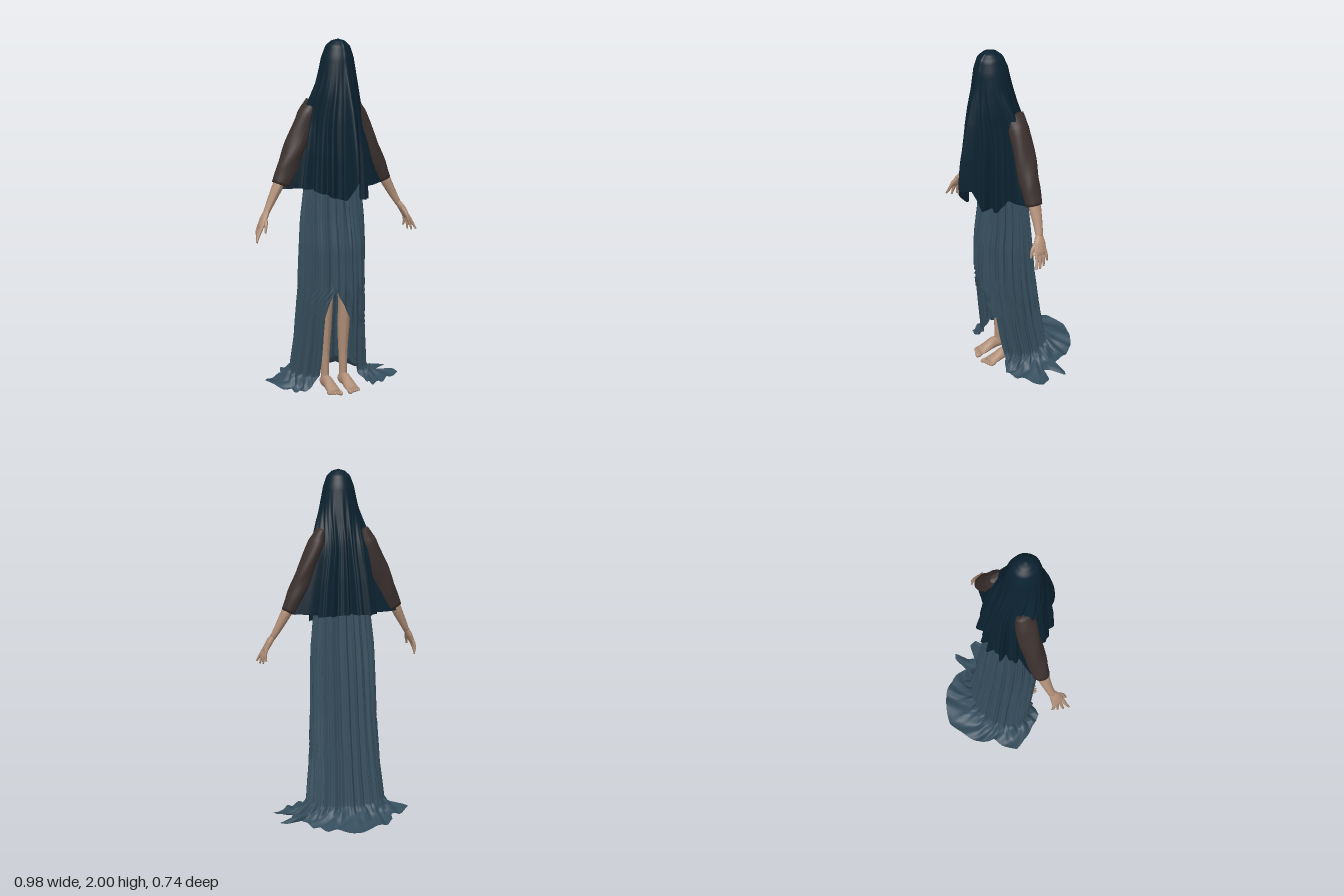
import * as THREE from 'three';

const mat = (name, color, side = THREE.FrontSide) => {
  const m = new THREE.MeshStandardMaterial({ color, side });
  m.name = name;
  return m;
};

const { lerp, clamp, smoothstep, radToDeg } = THREE.MathUtils;

// Piecewise-linear lookup in rows [key, a, b, ...] sorted by rising key
function look(rows, k, col = 1) {
  if (k <= rows[0][0]) return rows[0][col];
  for (let i = 1; i < rows.length; i++) {
    const a = rows[i - 1], b = rows[i];
    if (k <= b[0]) return lerp(a[col], b[col], (k - a[0]) / (b[0] - a[0]));
  }
  return rows[rows.length - 1][col];
}

// Grid surface from fn(u, v) -> [x, y, z]
function sheet(nu, nv, fn) {
  const pos = [], idx = [], row = nu + 1;
  for (let j = 0; j <= nv; j++)
    for (let i = 0; i <= nu; i++) pos.push(...fn(i / nu, j / nv));
  for (let j = 0; j < nv; j++)
    for (let i = 0; i < nu; i++) {
      const a = j * row + i;
      idx.push(a, a + row, a + 1, a + 1, a + row, a + row + 1);
    }
  const g = new THREE.BufferGeometry();
  g.setAttribute('position', new THREE.Float32BufferAttribute(pos, 3));
  g.setIndex(idx);
  g.computeVertexNormals();
  return g;
}

// Closed rounded limb through [x, y, z, radius along ref, radius across]
function limb(pts, ref, nu = 14, nv = 18, ripple = () => 0) {
  const curve = new THREE.CatmullRomCurve3(pts.map(p => new THREE.Vector3(p[0], p[1], p[2])));
  const radii = pts.map((p, i) => [i / (pts.length - 1), p[3], p[4]]);
  return sheet(nu, nv + 2, (u, w) => {
    const k = Math.round(w * (nv + 2));
    const v = clamp((k - 1) / nv, 0, 1);
    const open = k === 0 || k === nv + 2 ? 0 : 1;
    const T = curve.getTangent(v);
    const S = ref.clone().addScaledVector(T, -ref.dot(T)).normalize();
    const B = T.clone().cross(S);
    const a = u * Math.PI * 2, f = open * (1 + ripple(a, v));
    const p = curve.getPoint(v)
      .addScaledVector(S, Math.cos(a) * look(radii, v, 1) * f)
      .addScaledVector(B, -Math.sin(a) * look(radii, v, 2) * f);
    return [p.x, p.y, p.z];
  });
}

const X = new THREE.Vector3(1, 0, 0), Z = new THREE.Vector3(0, 0, 1);

// Veil profile: drop, core half width, half width over arms, back z, front z
const VEIL = [
  [0, 0, 0, 0.14, 0.14], [0.012, 0.036, 0.036, 0.1, 0.176], [0.045, 0.066, 0.066, 0.068, 0.207],
  [0.12, 0.088, 0.088, 0.042, 0.226], [0.25, 0.108, 0.11, 0.02, 0.24], [0.37, 0.127, 0.145, 0, 0.258],
  [0.5, 0.142, 0.18, -0.03, 0.272], [0.75, 0.166, 0.26, -0.07, 0.285], [1, 0.182, 0.345, -0.1, 0.29],
];
// Hem height by angle in degrees from the back, passing +x at 90 and the front at 180
const HEM = [[0, 1.2], [60, 1.18], [90, 1.2], [115, 1.17], [130, 1.12], [158, 1.13], [165, 1.24],
  [175, 1.24], [182, 1.13], [200, 1.15], [230, 1.18], [270, 1.19], [300, 1.18], [360, 1.2]];

function veilGeometry() {
  return sheet(240, 56, (u, v) => {
    const t = v < 0.25 ? v * v * 1.6 : 0.1 + (v - 0.25) * 1.2;
    const th = u * Math.PI * 2 - Math.PI, c = Math.cos(th), s = Math.sin(th);
    const zb = look(VEIL, t, 3), zf = look(VEIL, t, 4), core = look(VEIL, t), wide = look(VEIL, t, 2);
    const zc = lerp((zb + zf) / 2, 0.065, smoothstep(t, 0.2, 0.6));
    const depth = c > 0 ? zf - zc : zc - zb;
    let r = 1 / Math.hypot(s / Math.max(core, 1e-4), c / Math.max(depth, 1e-4));
    const side = Math.asin(Math.min(1, Math.abs(c)));
    const lobe = Math.exp(-((side / 0.2) ** 2));
    const amp = smoothstep(t, 0.1, 1);
    r += (1 - lobe) * amp * (0.016 * Math.sin(15 * th + 0.8) + 0.012 * Math.sin(25 * th + Math.sin(3 * th)));
    r += (wide - core) * lobe;
    r += 0.07 * amp * Math.exp(-(((th - 0.15) / 0.13) ** 2)); // deep front fold
    const hem = look(HEM, (1 - u) * 360);
    return [s * r, 2 - (2 - hem) * t, zc + c * r];
  });
}

// Skirt profile: height, half width, back z, front z
const SKIRT = [[0.1, 0.222, -0.175, 0.17], [0.3, 0.2, -0.145, 0.195], [0.6, 0.187, -0.105, 0.22],
  [0.85, 0.182, -0.08, 0.215], [1, 0.177, -0.06, 0.19], [1.2, 0.158, -0.04, 0.17], [1.55, 0.11, 0, 0.14]];
// Front slit: height, edge x on the left, edge x on the right
const SLIT = [[0, 0.13, -0.12], [0.2, 0.11, -0.105], [0.36, 0.1, -0.1], [0.45, 0.055, -0.095],
  [0.55, 0.02, -0.07], [0.63, -0.03, -0.03]];
// Train outline: degrees from the front towards +x, radius
const TRAIN = [[60, 0.25], [82, 0.35], [90, 0.43], [97, 0.42], [102, 0.33], [108, 0.36], [111, 0.455],
  [115, 0.43], [118, 0.33], [130, 0.37], [147, 0.41], [160, 0.42], [178, 0.44], [190, 0.41], [200, 0.4],
  [212, 0.38], [222, 0.33], [232, 0.36], [247, 0.39], [256, 0.34], [272, 0.28], [290, 0.25]];

function skirtPoint(th, y) {
  const w = look(SKIRT, y), zb = look(SKIRT, y, 2), zf = look(SKIRT, y, 3), zc = (zb + zf) / 2;
  const fold = 1 + 0.05 * Math.sin(23 * th + 1.5 * Math.sin(2 * th + y)) + 0.03 * Math.sin(41 * th + 2 * y);
  return [w * fold * Math.sin(th), y, zc + (zf - zb) / 2 * fold * Math.cos(th)];
}

function skirtGeometry() {
  return sheet(260, 64, (u, v) => {
    const s = clamp((v - 0.7) / 0.3, 0, 1);
    const y = s > 0 ? 0.1 : lerp(1.55, 0.1, v / 0.7);
    const w = look(SKIRT, y);
    const e0 = lerp(Math.asin(look(SLIT, y, 1) / w), 1.05, s);
    const e1 = lerp(Math.asin(look(SLIT, y, 2) / w), -1.2, s);
    const th = lerp(e0, Math.PI * 2 + e1, u);
    const p = skirtPoint(th, y);
    if (s > 0) { // cloth spreading over the floor
      const r = look(TRAIN, radToDeg(th));
      const k = s ** 1.4;
      p[0] = lerp(p[0], r * Math.sin(th), k);
      p[2] = lerp(p[2], 0.06 + r * Math.cos(th), k);
      p[1] = 0.088 * (1 - s) ** 2.2 + 0.012
        + 0.009 * Math.min(1, 4 * s) * (1 + Math.sin(17 * th + 9 * s + 2 * Math.sin(5 * th)));
    }
    return p;
  });
}

// Loose panel over the front: height, left edge, right edge
const DRAPE = [[0.36, 0.088, 0.105], [0.5, 0.02, 0.11], [0.62, -0.045, 0.1], [0.85, -0.03, 0.08], [1.15, -0.01, 0.04]];

function drapeGeometry() {
  return sheet(16, 30, (u, v) => {
    const y = lerp(1.15, 0.36, v);
    const x = lerp(look(DRAPE, y, 1), look(DRAPE, y, 2), u);
    const p = skirtPoint(Math.asin(x / look(SKIRT, y)), y);
    return [x, y, p[2] + 0.005 + 0.015 * Math.sin(Math.PI * u) * (1 + Math.sin(9 * u + 4 * y)) / 2];
  });
}

export function createModel() {
  const root = new THREE.Group();
  const veilMat = mat('veil dark blue', 0x0b2230, THREE.DoubleSide);
  const skirtMat = mat('skirt slate blue', 0x364e5d, THREE.DoubleSide);
  const sleeveMat = mat('sleeve brown', 0x3b312f);
  const skin = mat('skin', 0xb08f78);

  const add = (name, geo, m, parent = root) => {
    const mesh = new THREE.Mesh(geo, m);
    mesh.name = name;
    parent.add(mesh);
    return mesh;
  };

  add('veil', veilGeometry(), veilMat);
  add('skirt', skirtGeometry(), skirtMat);
  add('frontDrape', drapeGeometry(), skirtMat);

  for (const s of [1, -1]) {
    const side = s > 0 ? 'left' : 'right';

    // Sleeve, wider on the right arm
    const w = s > 0 ? 0.05 : 0.062, inn = s > 0 ? 0 : 0.008;
    add(side + 'Sleeve', limb([
      [s * 0.125, 1.67, 0.06, 0.045, 0.025], [s * (0.155 - inn), 1.59, 0.06, 0.06, w - 0.005],
      [s * (0.225 - inn), 1.42, 0.06, 0.06, w], [s * (0.275 - inn), 1.3, 0.065, 0.055, w],
      [s * (0.317 - inn), 1.205, 0.068, 0.047, w - 0.008]], Z, 28, 24,
      (a, v) => 0.05 * Math.sin(3 * a + 14 * v) * Math.sin(Math.PI * v)), sleeveMat);

    // Arm with hand
    const arm = new THREE.Group();
    arm.name = side + 'Arm';
    root.add(arm);
    add('forearm', limb([[s * 0.29, 1.28, 0.068, 0.034, 0.034], [s * 0.335, 1.19, 0.072, 0.034, 0.03],
      [s * 0.375, 1.115, 0.08, 0.025, 0.023], [s * 0.405, 1.06, 0.09, 0.021, 0.017]], Z), skin, arm);
    add('palm', limb([[s * 0.4, 1.07, 0.088, 0.02, 0.016], [s * 0.422, 1.035, 0.1, 0.034, 0.018],
      [s * 0.442, 0.995, 0.108, 0.039, 0.015], [s * 0.45, 0.978, 0.108, 0.034, 0.01]], Z), skin, arm);
    for (let i = 0; i < 4; i++) {
      const z = 0.08 + i * 0.019, len = [0.06, 0.078, 0.08, 0.07][i], out = 0.012 * (i - 1);
      add('finger', limb([[s * 0.444, 0.995, z, 0.01, 0.01],
        [s * (0.459 + out * 0.4), 0.985 - len * 0.5, z + out * 0.4, 0.009, 0.009],
        [s * (0.462 + out), 0.985 - len, z + out, 0.005, 0.005]], Z, 8, 8), skin, arm);
    }
    add('thumb', limb([[s * 0.418, 1.04, 0.115, 0.013, 0.012], [s * 0.428, 1.005, 0.15, 0.011, 0.01],
      [s * 0.437, 0.965, 0.165, 0.006, 0.006]], Z, 8, 8), skin, arm);

    // Leg with bare foot
    const leg = new THREE.Group();
    leg.name = side + 'Leg';
    root.add(leg);
    const x = s > 0 ? 0.067 : -0.047;
    add('shin', limb([[x, 0.9, 0.06, 0.06, 0.05], [x, 0.65, 0.085, 0.052, 0.045], [x, 0.5, 0.09, 0.042, 0.035],
      [x, 0.36, 0.075, 0.042, 0.034], [x, 0.2, 0.07, 0.03, 0.026], [x, 0.09, 0.072, 0.026, 0.022],
      [x, 0.035, 0.07, 0.03, 0.024]], Z, 18, 26), skin, leg);
    add('foot', limb([[x, 0.028, 0.03, 0.018, 0.018], [x, 0.034, 0.055, 0.026, 0.033],
      [x, 0.042, 0.11, 0.028, 0.04], [x, 0.026, 0.17, 0.036, 0.026], [x, 0.017, 0.215, 0.038, 0.015]], X), skin, leg);
    for (let i = 0; i < 5; i++) {
      const toe = add('toe', new THREE.SphereGeometry(1, 10, 8), skin, leg);
      const big = i === 0 ? 1.4 : 1;
      toe.scale.set(0.008 * big, 0.01 * big, 0.024);
      toe.position.set(x + s * (-0.028 + i * 0.0155), 0.014, 0.232 - i * 0.006);
    }
  }
  return root;
}
